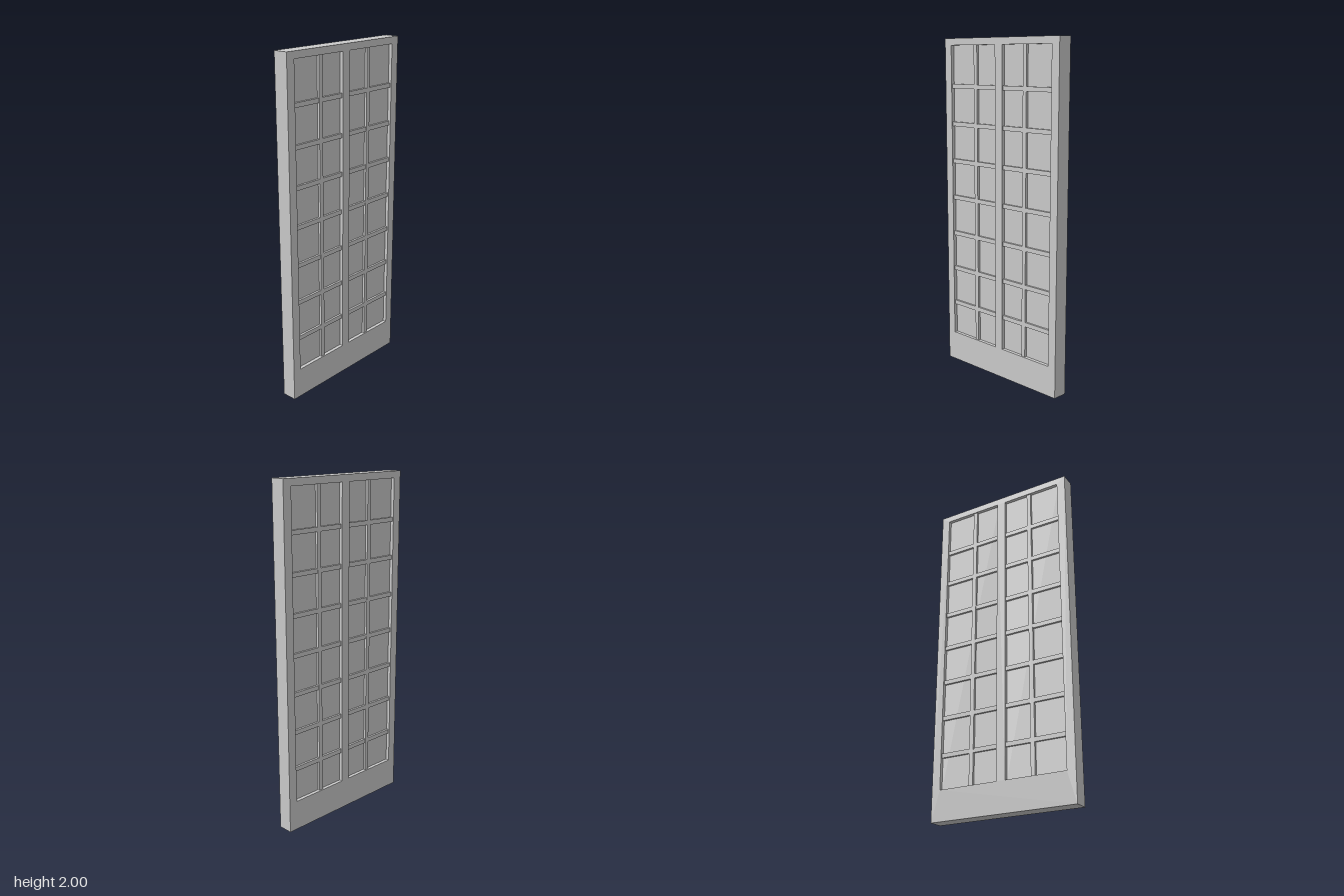
import * as THREE from 'three';

export function createModel() {
  const door = new THREE.Group();
  door.name = 'panelledDoor';
  const material = new THREE.MeshStandardMaterial({ color: 0xcccccc, flatShading: true });

  const halfWidth = 0.448, height = 2, depth = 0.088;
  const bottom = 0.178, top = 1.96;       // opening heights
  const inner = 0.028, outer = 0.395;     // opening edges on each side of the centre post
  const barWidth = 0.026, barDepth = 0.074, panelDepth = 0.046;

  const add = (name, geometry, x = 0, y = 0, z = 0) => {
    const mesh = new THREE.Mesh(geometry, material);
    mesh.name = name;
    mesh.position.set(x, y, z);
    door.add(mesh);
  };

  const rectangle = (path, x0, y0, x1, y1) =>
    path.moveTo(x0, y0).lineTo(x1, y0).lineTo(x1, y1).lineTo(x0, y1).closePath();

  // Outer frame with centre post: one slab with two tall openings
  const outline = rectangle(new THREE.Shape(), -halfWidth, 0, halfWidth, height);
  for (const [x0, x1] of [[-outer, -inner], [inner, outer]]) {
    outline.holes.push(rectangle(new THREE.Path(), x0, bottom, x1, top));
  }
  add('frame', new THREE.ExtrudeGeometry(outline, { depth, bevelEnabled: false }), 0, 0, -depth / 2);

  const openingWidth = outer - inner, openingHeight = top - bottom;
  const midX = (inner + outer) / 2, midY = (bottom + top) / 2;

  for (const side of [-1, 1]) {
    const label = side > 0 ? 'left' : 'right';

    // Recessed panel filling the opening
    add(`${label}Panel`, new THREE.BoxGeometry(openingWidth, openingHeight, panelDepth), side * midX, midY);

    // Upright glazing bar
    add(`${label}UprightBar`, new THREE.BoxGeometry(barWidth, openingHeight, barDepth), side * 0.195, midY);

    // Seven crossbars
    for (let i = 0; i < 7; i++) {
      add(`${label}Crossbar${i + 1}`, new THREE.BoxGeometry(openingWidth, barWidth, barDepth - 0.002),
        side * midX, 0.376 + i * 0.2243);
    }
  }
  return door;
}
